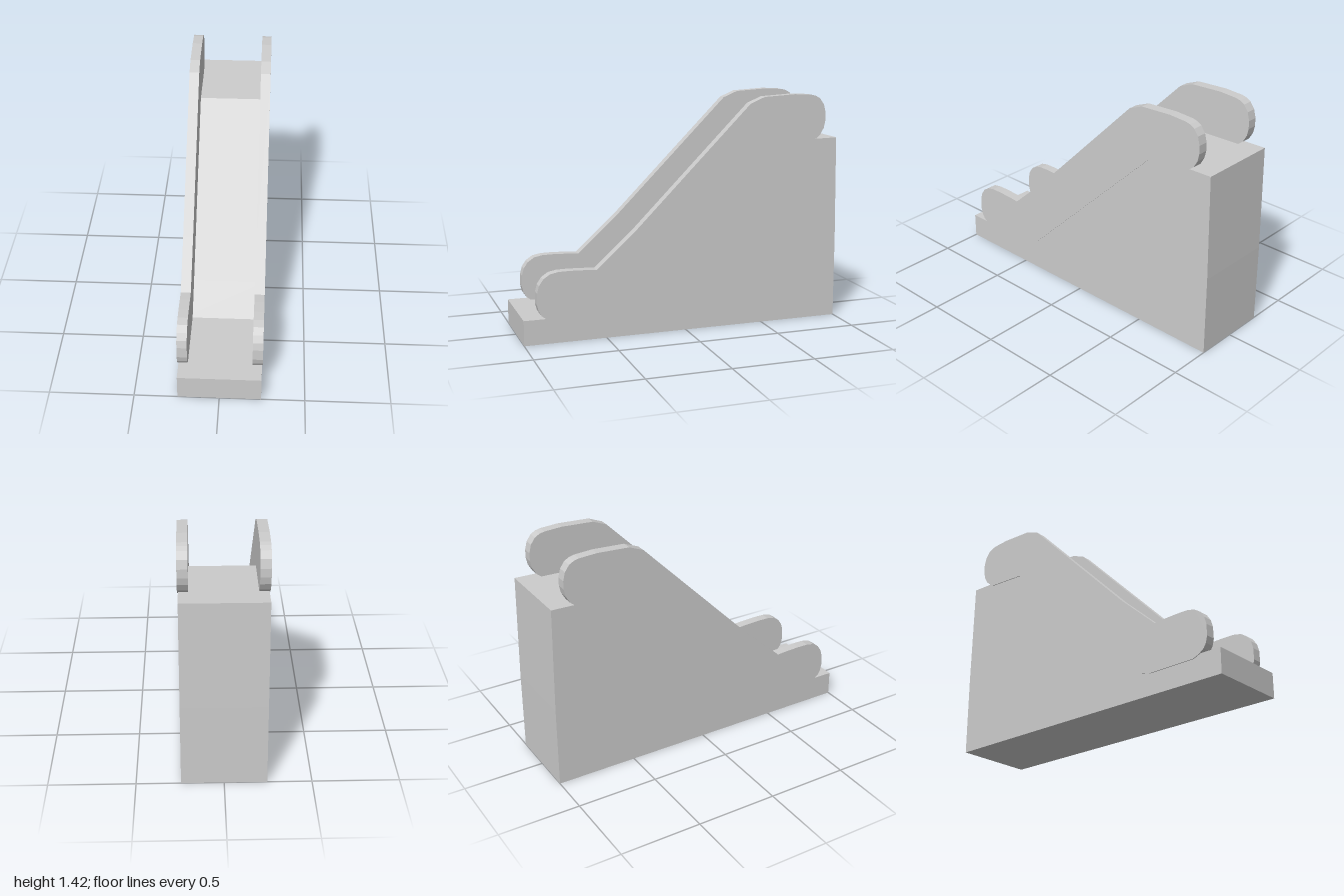
import * as THREE from 'three';

// Extrude a (z, y) side profile across x, from x0 to x1
function slab(points, x0, x1) {
  const shape = new THREE.Shape(points.map(([z, y]) => new THREE.Vector2(-z, y)));
  const geo = new THREE.ExtrudeGeometry(shape, { depth: x1 - x0, bevelEnabled: false });
  geo.rotateY(Math.PI / 2);
  geo.translate(x0, 0, 0);
  return geo;
}

export function createModel() {
  const group = new THREE.Group();
  group.name = 'escalator';
  const grey = new THREE.MeshStandardMaterial({ color: 0xcccccc });
  grey.name = 'light grey';

  // Solid body: lower landing, straight ramp, upper landing
  const bodyProfile = [
    [1, 0], [1, 0.152], [0.48, 0.152], [0.31, 0.31],
    [-0.51, 1.13], [-0.99, 1.142], [-1, 0.5], [-1, 0],
  ];
  const body = new THREE.Mesh(slab(bodyProfile, -0.245, 0.245), grey);
  body.name = 'body';
  group.add(body);

  // Side balustrades with rounded ends
  const railProfile = [
    [0.56, 0.423], [0.63, 0.428], [0.72, 0.431], [0.79, 0.43], [0.84, 0.42], [0.88, 0.393],
    [0.906, 0.355], [0.918, 0.31], [0.92, 0.24], [0.91, 0.2], [0.893, 0.172], [0.86, 0.148],
    [0.82, 0.132], [0.51, 0.13], [0.45, 0.15], [0.37, 0.205],
    [-0.56, 1.105], [-0.82, 1.12], [-0.845, 1.138],
    [-0.875, 1.162], [-0.9, 1.205], [-0.91, 1.25], [-0.91, 1.3], [-0.897, 1.35], [-0.87, 1.388],
    [-0.84, 1.405], [-0.81, 1.412], [-0.7, 1.418], [-0.5, 1.407], [-0.41, 1.37], [0.31, 0.648],
  ];
  for (const [name, x0] of [['leftBalustrade', 0.19], ['rightBalustrade', -0.25]]) {
    const rail = new THREE.Mesh(slab(railProfile, x0, x0 + 0.06), grey);
    rail.name = name;
    group.add(rail);
  }
  return group;
}
